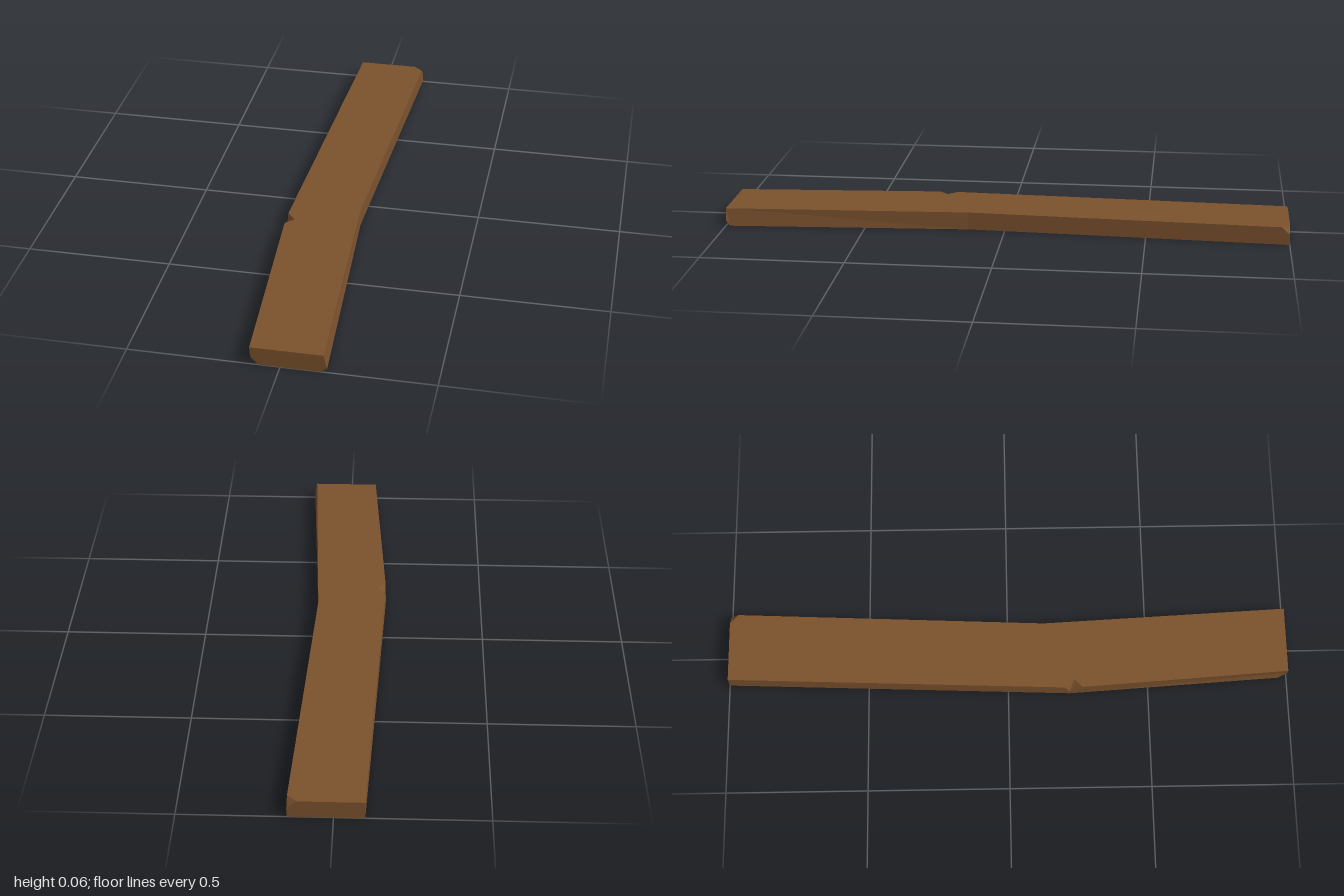
import * as THREE from 'three';

const H = 0.063; // plank thickness

// Corner points of the bent plank
const P = {
  // front end, with both lower corners chipped
  frontTopL: [-0.098, H, 1], frontTopR: [0.14, H, 1],
  chipLUp: [-0.096, 0.032, 1], chipLIn: [-0.07, 0, 1], chipLBack: [-0.102, 0, 0.97],
  chipRUp: [0.148, 0.022, 1], chipRIn: [0.128, 0, 1], chipRBack: [0.147, 0, 0.985],
  // the bend
  bendTopR: [0.097, H, 0.13], bendLowR: [0.097, 0, 0.13], bendLowL: [-0.149, 0, 0.22],
  // notch in the upper left edge
  notchBack: [-0.148, H, 0.2], notchFront: [-0.147, H, 0.265],
  notchIn: [-0.118, H, 0.235], notchLow: [-0.149, 0.02, 0.22],
  // back end, with the upper right corner chipped
  backTopL: [-0.1, H, -1], backLowL: [-0.1, 0, -1], backLowR: [0.148, 0, -1],
  chipBIn: [0.115, H, -1], chipBFront: [0.147, H, -0.97], chipBLow: [0.148, 0.036, -1],
};

// Flat faces as loops of corners
const FACES = [
  'frontTopL frontTopR bendTopR chipBFront chipBIn backTopL notchBack notchIn notchFront', // top
  'chipLIn chipRIn chipRBack bendLowR backLowR backLowL bendLowL chipLBack', // underside
  'frontTopL frontTopR chipRUp chipRIn chipLIn chipLUp', // front end
  'backTopL chipBIn chipBLow backLowR backLowL', // back end
  'frontTopR chipRUp chipRBack bendLowR bendTopR', // right edge
  'bendTopR bendLowR backLowR chipBLow chipBFront',
  'frontTopL chipLUp chipLBack bendLowL notchLow notchFront', // left edge
  'notchBack notchLow bendLowL backLowL backTopL',
  'chipLUp chipLIn chipLBack', 'chipRUp chipRIn chipRBack', 'chipBIn chipBFront chipBLow', // chips
  'notchIn notchLow notchFront', 'notchIn notchLow notchBack', // notch walls
];

// Triangulate one face and turn its triangles away from a point inside the plank
function addFace(loop, out) {
  const inside = new THREE.Vector3(-0.03, 0.03, 0.17);
  const pts = loop.split(' ').map((n) => new THREE.Vector3(...P[n]));
  const normal = new THREE.Vector3();
  pts.forEach((p, i) => normal.add(p.clone().cross(pts[(i + 1) % pts.length])));
  if (normal.dot(pts[0].clone().sub(inside)) < 0) {
    pts.reverse();
    normal.negate();
  }
  // flatten along the main direction of the face
  const size = normal.toArray().map(Math.abs);
  const axis = size.indexOf(Math.max(...size));
  const flat = pts.map((p) => {
    const c = p.toArray();
    return new THREE.Vector2(c[(axis + 1) % 3], c[(axis + 2) % 3]);
  });
  if (normal.getComponent(axis) < 0) flat.forEach((p) => { p.x = -p.x; });
  for (const tri of THREE.ShapeUtils.triangulateShape(flat, [])) {
    for (const i of tri) out.push(...pts[i].toArray());
  }
}

export function createModel() {
  const wood = new THREE.MeshStandardMaterial({ color: 0x7b522d });
  wood.name = 'brown wood';
  wood.flatShading = true;

  const positions = [];
  FACES.forEach((loop) => addFace(loop, positions));
  const geometry = new THREE.BufferGeometry();
  geometry.setAttribute('position', new THREE.Float32BufferAttribute(positions, 3));
  geometry.computeVertexNormals();

  const plank = new THREE.Mesh(geometry, wood);
  plank.name = 'plank';
  const group = new THREE.Group();
  group.name = 'bentPlank';
  group.add(plank);
  return group;
}
